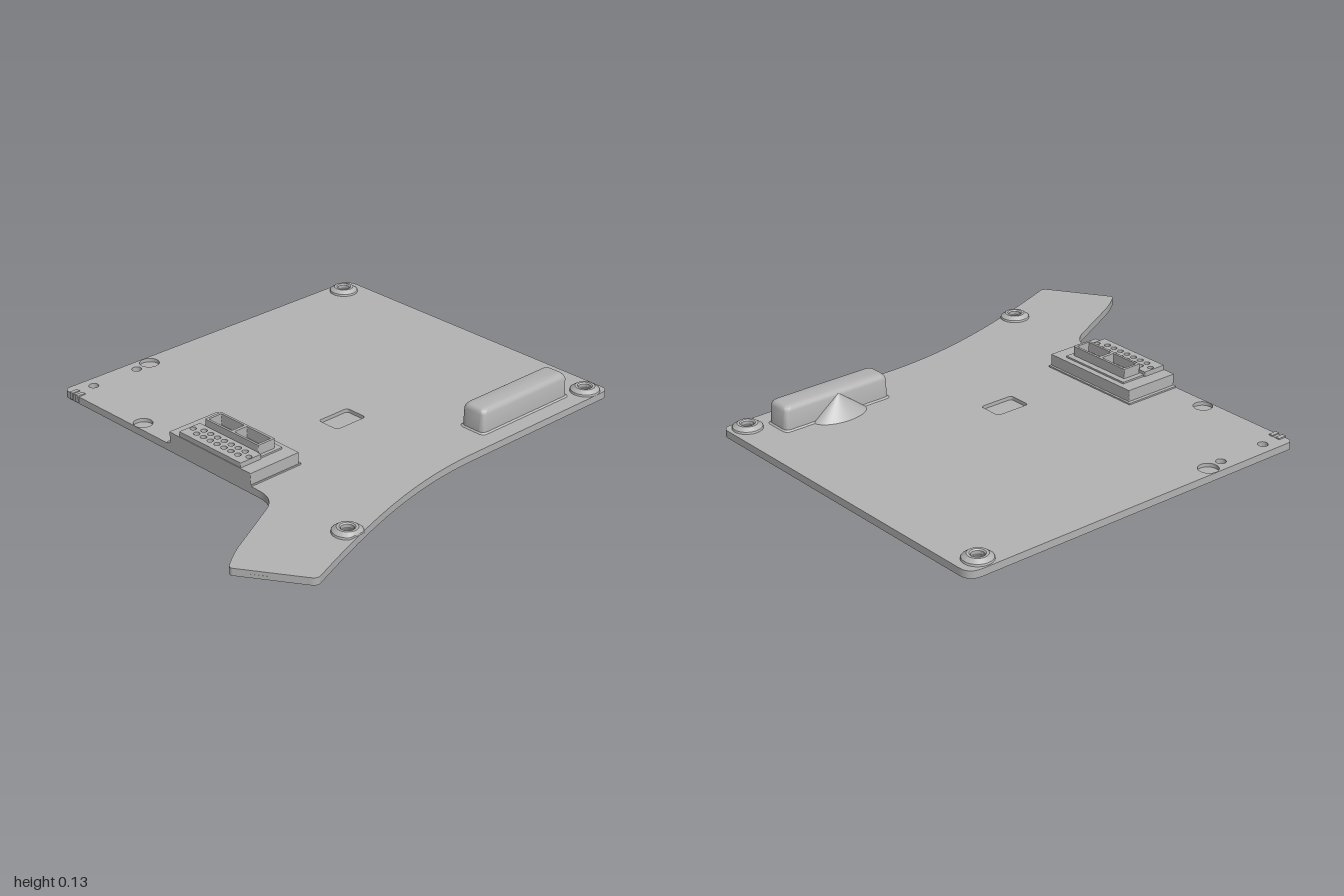
import * as THREE from 'three';
import { toCreasedNormals } from 'three/addons/utils/BufferGeometryUtils.js';

const grey = new THREE.MeshStandardMaterial({ color: 0xb4b4b4 });
grey.name = 'grey plastic';
const greyShell = new THREE.MeshStandardMaterial({ color: 0xb4b4b4, side: THREE.DoubleSide });
greyShell.name = 'grey plastic shell';

// Shapes are drawn in plan: shape x = x, shape y = z
const circle = (x, z, r) => new THREE.Path().absarc(x, z, r, 0, Math.PI * 2);

function rect(x0, x1, z0, z1, r = 0.004, Type = THREE.Path) {
  const p = new Type();
  p.moveTo(x0 + r, z0).lineTo(x1 - r, z0).quadraticCurveTo(x1, z0, x1, z0 + r);
  p.lineTo(x1, z1 - r).quadraticCurveTo(x1, z1, x1 - r, z1);
  p.lineTo(x0 + r, z1).quadraticCurveTo(x0, z1, x0, z1 - r);
  p.lineTo(x0, z0 + r).quadraticCurveTo(x0, z0, x0 + r, z0);
  return p;
}
const rectShape = (x0, x1, z0, z1, r) => rect(x0, x1, z0, z1, r, THREE.Shape);

function mesh(parent, name, geometry, material = grey) {
  const m = new THREE.Mesh(geometry, material);
  m.name = name;
  parent.add(m);
  return m;
}

// Upright slab between two heights, with holes
function slab(parent, name, shape, holes, y0, y1) {
  shape.holes.push(...holes);
  const g = new THREE.ExtrudeGeometry(shape, { depth: y1 - y0, bevelEnabled: false, curveSegments: 20 });
  g.rotateX(Math.PI / 2).translate(0, y1, 0);
  return mesh(parent, name, g);
}

function plateOutline() {
  const s = new THREE.Shape();
  s.moveTo(-0.53, -0.87).lineTo(0.94, -0.866).quadraticCurveTo(1, -0.866, 1, -0.81);
  s.lineTo(1, 0.575).quadraticCurveTo(1, 0.613, 0.96, 0.613).lineTo(0.2, 0.615);
  s.bezierCurveTo(-0.1, 0.617, -0.4, 0.705, -0.81, 0.865);
  s.quadraticCurveTo(-0.83, 0.873, -0.845, 0.85).lineTo(-0.993, 0.625);
  s.quadraticCurveTo(-1.005, 0.61, -0.985, 0.595).quadraticCurveTo(-0.94, 0.558, -0.88, 0.525);
  s.lineTo(-0.63, 0.395).bezierCurveTo(-0.58, 0.365, -0.56, 0.33, -0.56, 0.27);
  s.lineTo(-0.56, -0.84).quadraticCurveTo(-0.56, -0.87, -0.53, -0.87);
  return s;
}

// Shell through inset rounded rectangles, closed on top
function domedBox(x0, x1, z0, z1, r, rings) {
  const pos = [], idx = [];
  let n = 0;
  for (const [inset, y] of rings) {
    const pts = rect(x0 + inset, x1 - inset, z0 + inset, z1 - inset, r).getPoints(6).slice(0, -1);
    n = pts.length;
    for (const p of pts) pos.push(p.x, y, p.y);
  }
  for (let k = 0; k < rings.length - 1; k++) {
    for (let i = 0; i < n; i++) {
      const a = k * n + i, b = k * n + (i + 1) % n;
      idx.push(a, a + n, b, b, a + n, b + n);
    }
  }
  const last = (rings.length - 1) * n;
  pos.push((x0 + x1) / 2, rings[rings.length - 1][1], (z0 + z1) / 2);
  for (let i = 0; i < n; i++) idx.push(last + i, last + n, last + (i + 1) % n);
  const g = new THREE.BufferGeometry();
  g.setAttribute('position', new THREE.Float32BufferAttribute(pos, 3));
  g.setIndex(idx);
  return toCreasedNormals(g, 0.7);
}

export function createModel() {
  const model = new THREE.Group();
  model.name = 'coverPlate';
  const bosses = [[0.91, -0.80], [0.925, 0.553], [-0.535, 0.712]];

  // Openings that pass right through the plate
  const openings = () => [
    ...bosses.map(([x, z]) => circle(x, z, 0.036)),
    circle(-0.455, -0.815, 0.02), circle(-0.235, -0.815, 0.02),
    rect(-0.545, -0.335, -0.215, 0.215),
    rect(0.36, 0.83, 0.43, 0.53, 0.02),
    new THREE.Path().absellipse(0.592, 0.42, 0.115, 0.065, Math.PI, Math.PI * 2),
  ];

  // Plate in two layers, so each side carries its own shallow recesses
  slab(model, 'plateBottom', plateOutline(),
    [...openings(), circle(-0.34, -0.8, 0.045), circle(-0.89, 0.71, 0.04)], 0, 0.015);
  slab(model, 'plateTop', plateOutline(), [
    ...openings(), circle(-0.16, -0.825, 0.04), circle(-0.52, -0.43, 0.038),
    rect(-0.017, 0.135, 0.02, 0.122, 0.015),
  ], 0.015, 0.03);

  // Screw bosses, hollow beneath, trimmed at the front edge
  const profile = [[0.036, 0.015], [0.025, 0.035], [0.025, 0.046], [0.03, 0.051], [0.04, 0.051], [0.058, 0.038], [0.06, 0.03]]
    .map(([r, y]) => new THREE.Vector2(r, y)).reverse();
  bosses.forEach(([x, z], i) => {
    const g = new THREE.LatheGeometry(profile, 36).translate(x, 0, z);
    if (i === 2) {
      const p = g.attributes.position;
      for (let k = 0; k < p.count; k++) p.setZ(k, Math.min(p.getZ(k), 0.76));
    }
    mesh(model, 'screwBoss' + (i + 1), toCreasedNormals(g, 0.4), greyShell);
  });

  // Long rounded housing with a half-cone relief behind it
  mesh(model, 'housing', domedBox(0.35, 0.84, 0.42, 0.54, 0.025,
    [[-0.004, 0.03], [0.002, 0.036], [0.004, 0.108], [0.008, 0.12], [0.015, 0.127], [0.025, 0.13]]), greyShell);
  const cone = new THREE.ConeGeometry(1, 0.09, 32, 1, true, Math.PI / 2, Math.PI);
  cone.scale(0.12, 1, 0.07).translate(0.592, 0.075, 0.423);
  mesh(model, 'halfCone', cone, greyShell);

  // Connector cover: flange, walls, perforated roof and pin strip
  const connector = new THREE.Group();
  connector.name = 'connector';
  model.add(connector);
  const pinHoles = () => {
    const holes = [];
    for (let row = -3; row <= 3; row++) {
      for (const x of [-0.52, -0.484]) holes.push(circle(x, 0.003 + row * 0.0385, 0.0125));
    }
    return holes;
  };
  const inner = () => rect(-0.545, -0.335, -0.21, 0.215);
  slab(connector, 'flange', rectShape(-0.56, -0.31, -0.24, 0.235), [inner()], 0.03, 0.036);
  slab(connector, 'walls', rectShape(-0.56, -0.32, -0.225, 0.232), [inner()], 0.036, 0.07);
  slab(connector, 'roof', rectShape(-0.56, -0.32, -0.225, 0.232), pinHoles(), 0.07, 0.083);
  slab(connector, 'pinStrip', rectShape(-0.557, -0.455, -0.17, 0.175),
    [...pinHoles(), circle(-0.502, -0.153, 0.012), circle(-0.502, 0.159, 0.012)], 0.083, 0.103);

  // Socket with two open pockets and a low surround
  slab(connector, 'socketSurround', rectShape(-0.455, -0.345, -0.165, 0.17),
    [rect(-0.44, -0.38, -0.135, 0.15)], 0.083, 0.09);
  slab(connector, 'socket', rectShape(-0.452, -0.37, -0.143, 0.155),
    [rect(-0.442, -0.38, -0.132, -0.002), rect(-0.442, -0.38, 0.012, 0.144)], 0.083, 0.13);

  // Small clip on the back corner
  const clip = new THREE.Group();
  clip.name = 'cornerClip';
  model.add(clip);
  for (const z of [-0.82, -0.785]) {
    mesh(clip, 'clipJaw', new THREE.BoxGeometry(0.036, 0.03, 0.018).translate(-0.546, 0.02, z));
  }
  mesh(clip, 'clipBridge', new THREE.BoxGeometry(0.03, 0.022, 0.03).translate(-0.545, 0.02, -0.8025));
  return model;
}
